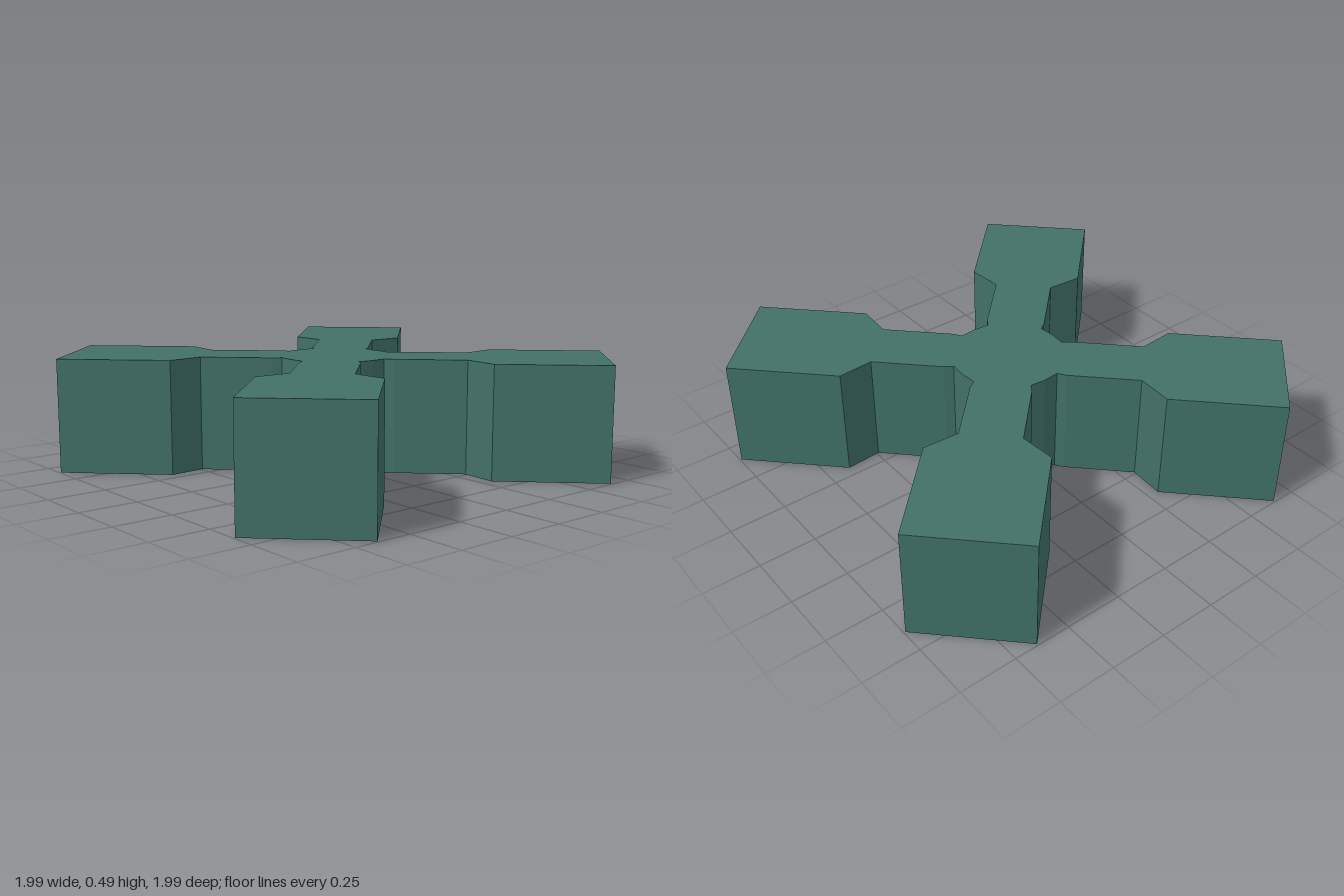
import * as THREE from 'three';

export function createModel() {
  const group = new THREE.Group();
  const material = new THREE.MeshStandardMaterial({ color: 0x417068, flatShading: true });
  const height = 0.49;

  // Half of one arm: [distance along the arm, half width], from hub to tip
  const half = [[0.217, 0.118], [0.258, 0.127], [0.568, 0.127], [0.672, 0.246], [1.159, 0.246]];
  const arm = [
    ...half.map(([along, across]) => [along, -across]),
    ...half.slice().reverse(),
  ];

  // Four arms turned about the centre, joined by short curved hub edges
  const outline = [];
  const add = (x, y, angle) =>
    outline.push(new THREE.Vector2(x, y).rotateAround(new THREE.Vector2(), angle));
  for (let i = 0; i < 4; i++) {
    const angle = Math.PI / 4 + (i * Math.PI) / 2;
    arm.forEach(([along, across]) => add(along, across, angle));
    add(0.243, 0, angle + Math.PI / 4);
  }

  const geometry = new THREE.ExtrudeGeometry(new THREE.Shape(outline), {
    depth: height,
    bevelEnabled: false,
  });
  geometry.rotateX(-Math.PI / 2);

  const cross = new THREE.Mesh(geometry, material);
  cross.name = 'fourArmedCross';
  group.add(cross);
  return group;
}
